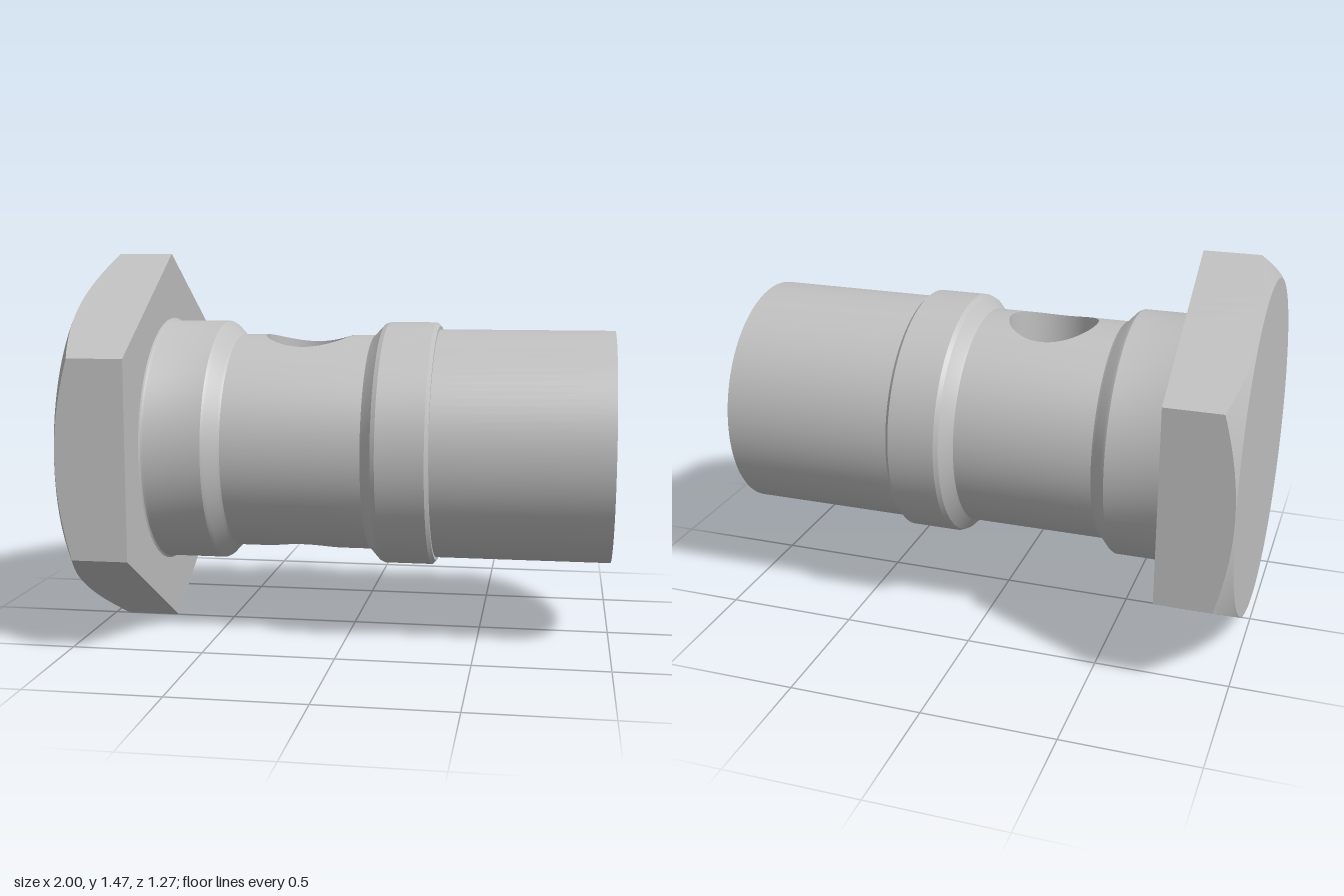
import * as THREE from 'three';
import { toCreasedNormals } from 'three/addons/utils/BufferGeometryUtils.js';

const AXIS_Y = 0.735;               // height of the bolt axis
const SEG = 96;                     // segments around the shank
const NECK_R = 0.42, BORE_R = 0.213;
const HOLE_X = -0.18, HOLE_R = 0.17;

function buildGeometry(positions, index, normals) {
  const g = new THREE.BufferGeometry();
  g.setAttribute('position', new THREE.Float32BufferAttribute(positions, 3));
  if (normals) g.setAttribute('normal', new THREE.Float32BufferAttribute(normals, 3));
  g.setIndex(index);
  return g;
}

// Profile of [radius, x] pairs turned about the x axis
function turned(profile) {
  const g = new THREE.LatheGeometry(profile.map(([r, x]) => new THREE.Vector2(r, x)), SEG);
  g.rotateZ(-Math.PI / 2);
  return toCreasedNormals(g, 0.35);
}

// Hexagon with a conical chamfer on its outer face
function hexHead() {
  const x0 = -1, x1 = -0.735, corner = 0.735, faceR = 0.634, perSide = 16;
  const apothem = corner * Math.cos(Math.PI / 6), n = perSide * 6;
  const hexR = a => apothem / Math.cos((a % (Math.PI / 3)) - Math.PI / 6);
  const rings = [
    () => [x0, 0],
    () => [x0, faceR],
    a => [x0 + (hexR(a) - faceR) * 0.56, hexR(a)],
    a => [x1, hexR(a)],
    () => [x1, 0],
  ];
  const p = [], index = [];
  rings.forEach((ring, i) => {
    for (let j = 0; j < n; j++) {
      const a = (j / n) * Math.PI * 2;
      // nudge avoids rounding at the corners; both sides meet there
      const [x, r] = ring(a + 1e-9);
      p.push(x, r * Math.cos(a), r * Math.sin(a));
      if (i === rings.length - 1) continue;
      const k = (j + 1) % n, A = i * n + j, B = i * n + k;
      if (i > 0) index.push(A, B, A + n);
      if (i < rings.length - 2) index.push(B, B + n, A + n);
    }
  });
  return toCreasedNormals(buildGeometry(p, index), 0.3);
}

// Upper half of a tube wall from xa to xb, pierced by the cross hole
function piercedHalf(R, xa, xb, inward) {
  const nTheta = SEG / 2, nX = 24, steps = 12, h = Math.PI / 2;
  const edge = [];
  const side = (n, f) => { for (let i = 0; i < n; i++) edge.push(f(i / n)); };
  side(nTheta, t => [xa, -h + 2 * h * t]);
  side(nX, t => [xa + (xb - xa) * t, h]);
  side(nTheta, t => [xb, h - 2 * h * t]);
  side(nX, t => [xb + (xa - xb) * t, -h]);
  const p = [], nrm = [], index = [], n = edge.length, s = inward ? -1 : 1;
  for (let i = 0; i <= steps; i++) {
    edge.forEach(([ex, et], j) => {
      const a = Math.atan2(et * R, ex - HOLE_X);
      const hx = HOLE_X + HOLE_R * Math.cos(a);
      const ht = Math.asin((HOLE_R * Math.sin(a)) / R);
      const x = hx + (ex - hx) * (i / steps), t = ht + (et - ht) * (i / steps);
      p.push(x, R * Math.cos(t), R * Math.sin(t));
      nrm.push(0, s * Math.cos(t), s * Math.sin(t));
      if (i === steps) return;
      const k = (j + 1) % n, a0 = i * n + j, a1 = i * n + k, b0 = a0 + n, b1 = a1 + n;
      if (inward) index.push(b0, a0, b1, b1, a0, a1);
      else index.push(b0, b1, a0, b1, a1, a0);
    });
  }
  return buildGeometry(p, index, nrm);
}

// Wall of the cross hole, trimmed to the neck outside and the bore inside
function holeWall() {
  const g = new THREE.CylinderGeometry(HOLE_R, HOLE_R, 2, SEG, 1, true);
  const pos = g.attributes.position;
  for (let i = 0; i < pos.count; i++) {
    const R = pos.getY(i) > 0 ? NECK_R : BORE_R;
    pos.setY(i, Math.sqrt(R * R - pos.getZ(i) ** 2));
  }
  g.scale(-1, 1, 1);                // turn the faces inward
  g.translate(HOLE_X, 0, 0);
  return toCreasedNormals(g, 0.5);
}

export function createModel() {
  const steel = new THREE.MeshStandardMaterial({ color: 0xc0c0c0 });
  steel.name = 'steel';
  const model = new THREE.Group();
  model.name = 'hollowBolt';
  const add = (name, geometry, flip = false) => {
    const mesh = new THREE.Mesh(geometry, steel);
    mesh.name = name;
    mesh.position.y = AXIS_Y;
    if (flip) mesh.rotation.x = Math.PI;
    model.add(mesh);
  };

  add('hexHead', hexHead());

  // Collar under the head, with a small fillet
  add('headCollar', turned([
    [0.482, -0.735], [0.475, -0.73], [0.472, -0.72], [0.472, -0.505],
    [0.465, -0.492], [0.427, -0.456], [NECK_R, -0.445],
  ]));

  // Front collar, plain end, end face and bore mouth
  add('shankEnd', turned([
    [NECK_R, 0.08], [0.427, 0.088], [0.465, 0.123], [0.472, 0.14],
    [0.472, 0.32], [0.458, 0.334], [0.445, 0.334], [0.445, 1],
    [0.265, 1], [BORE_R, 0.95], [BORE_R, 0.04],
  ]));

  // Neck, bore and cross hole, top and bottom
  const neck = piercedHalf(NECK_R, -0.445, 0.08, false);
  const bore = piercedHalf(BORE_R, -0.38, 0.04, true);
  const wall = holeWall();
  for (const [label, flip] of [['upper', false], ['lower', true]]) {
    add(label + 'Neck', neck, flip);
    add(label + 'Bore', bore, flip);
    add(label + 'CrossHole', wall, flip);
  }

  // Conical bottom of the bore
  add('boreTip', turned([[BORE_R, -0.38], [0, -0.5]]));

  return model;
}
